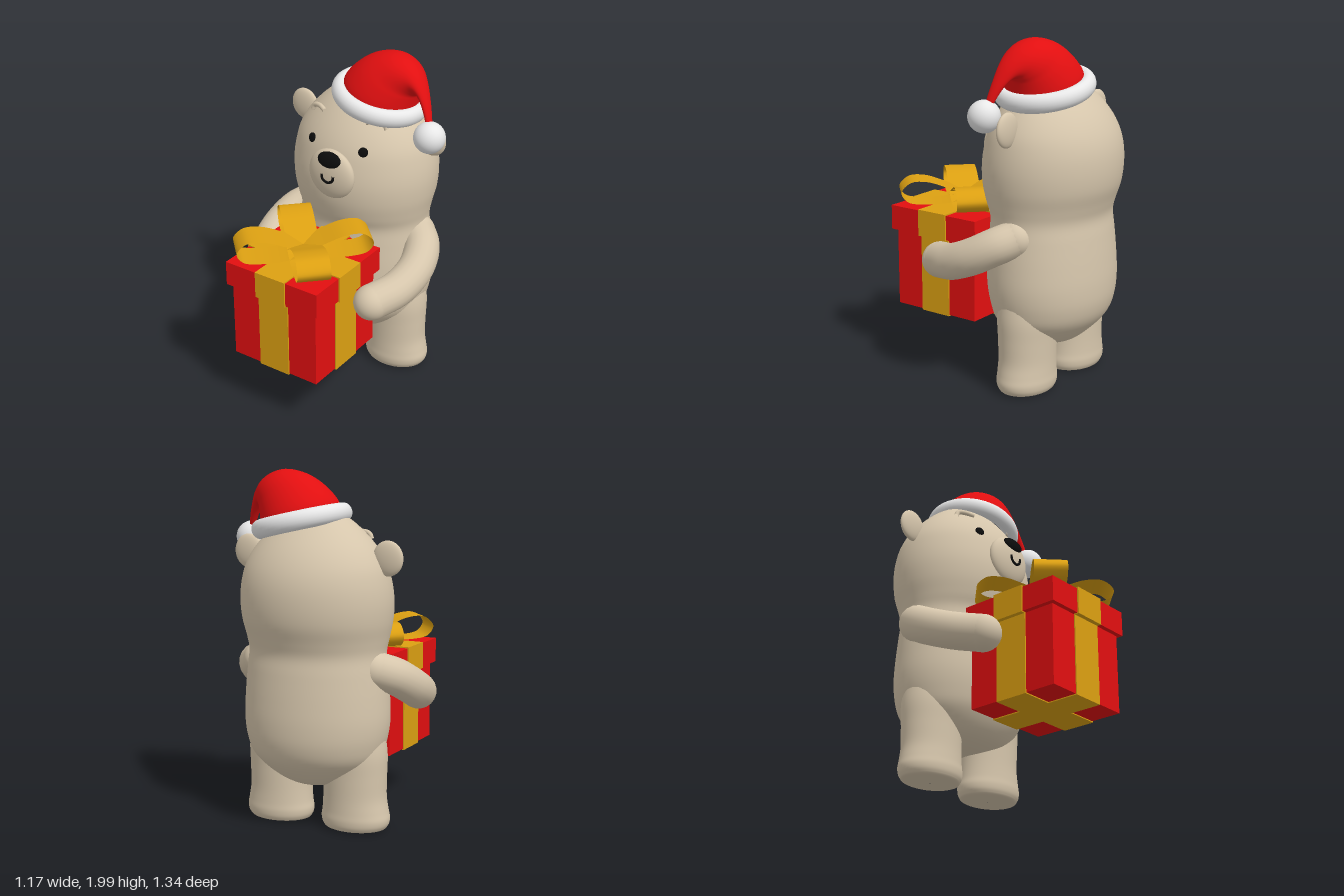
import * as THREE from 'three';

const mat = (name, color, side = THREE.FrontSide) => {
  const m = new THREE.MeshStandardMaterial({ color, side });
  m.name = name;
  return m;
};

// Smooth skin over elliptical sections: [cx, cy, cz, ux, uy, halfZ]
function loft(rows, steps = 5, sides = 48) {
  const a = rows.map(r => new THREE.Vector3(r[0], r[1], r[2]));
  const b = rows.map(r => new THREE.Vector3(r[3], r[4], r[5]));
  const ca = new THREE.CatmullRomCurve3(a, false, 'catmullrom', 0.5);
  const cb = new THREE.CatmullRomCurve3(b, false, 'catmullrom', 0.5);
  const n = (rows.length - 1) * steps, pos = [], idx = [];
  for (let i = 0; i <= n; i++) {
    const c = ca.getPoint(i / n), r = cb.getPoint(i / n);
    for (let j = 0; j < sides; j++) {
      const t = (j / sides) * Math.PI * 2, co = Math.cos(t);
      pos.push(c.x + r.x * co, c.y + r.y * co, c.z + r.z * Math.sin(t));
      if (i < n) {
        const k = (j + 1) % sides, p = i * sides, q = p + sides;
        idx.push(p + j, q + j, p + k, q + j, q + k, p + k);
      }
    }
  }
  const g = new THREE.BufferGeometry();
  g.setAttribute('position', new THREE.Float32BufferAttribute(pos, 3));
  g.setIndex(idx);
  g.computeVertexNormals();
  return g;
}

export function createModel() {
  const model = new THREE.Group();
  model.name = 'bearWithGift';
  const fur = mat('cream fur', 0xd6c6ac);
  const red = mat('red', 0xe20f10);
  const gold = mat('gold ribbon', 0xdca012, THREE.DoubleSide);
  const white = mat('white trim', 0xeeeeee);
  const black = mat('black', 0x0c0c0c);

  const add = (name, geo, material, x = 0, y = 0, z = 0, parent = model) => {
    const m = new THREE.Mesh(geo, material);
    m.name = name;
    m.position.set(x, y, z);
    parent.add(m);
    return m;
  };
  const ball = (name, material, p, s) => {
    const m = add(name, new THREE.SphereGeometry(1, 40, 28), material, ...p);
    m.scale.set(...s);
    return m;
  };
  const tube = (name, pts, r, material) => add(name, new THREE.TubeGeometry(
    new THREE.CatmullRomCurve3(pts.map(p => new THREE.Vector3(...p))), 32, r, 20), material);

  // Head and torso in one skin: [y, halfWidth, zFront, zBack]
  const body = [
    [0.235, 0.002, -0.299, -0.301], [0.25, 0.13, -0.18, -0.42], [0.3, 0.26, -0.08, -0.5],
    [0.4, 0.37, -0.01, -0.595], [0.5, 0.41, 0.02, -0.635], [0.62, 0.428, 0.035, -0.645],
    [0.76, 0.424, 0.032, -0.638], [0.9, 0.412, 0.022, -0.625], [1.0, 0.403, 0.018, -0.615],
    [1.08, 0.415, 0.045, -0.635], [1.18, 0.435, 0.068, -0.668], [1.29, 0.442, 0.072, -0.68],
    [1.4, 0.43, 0.055, -0.672], [1.5, 0.4, 0.025, -0.64], [1.6, 0.335, -0.03, -0.58],
    [1.7, 0.235, -0.11, -0.49], [1.76, 0.14, -0.19, -0.41], [1.785, 0.002, -0.299, -0.301]];
  add('body', loft(body.map(([y, w, f, b]) => [0, y, (f + b) / 2, w, 0, (f - b) / 2])), fur);

  // Legs: [y, centreX, halfWidth, halfDepth]
  const leg = [[0.008, 0.24, 0.002, 0.002], [0.01, 0.24, 0.155, 0.12], [0.03, 0.241, 0.19, 0.148],
    [0.07, 0.242, 0.201, 0.157], [0.12, 0.241, 0.193, 0.155], [0.2, 0.237, 0.184, 0.154],
    [0.32, 0.238, 0.184, 0.158], [0.45, 0.24, 0.183, 0.163], [0.6, 0.23, 0.17, 0.15]];
  for (const s of [1, -1]) {
    const side = s > 0 ? 'left' : 'right';
    add(side + 'Leg', loft(leg.map(([y, x, w, d]) => [s * x, y, -0.3, w, 0, d])), fur);

    // Arm with rounded ends
    const path = [[0.36, 0.92, -0.31], [0.44, 0.88, -0.23], [0.478, 0.81, -0.1],
      [0.455, 0.745, 0.06], [0.385, 0.71, 0.21]].map(([x, y, z]) => [s * x, y, z]);
    tube(side + 'Arm', path, 0.104, fur);
    ball(side + 'Shoulder', fur, path[0], [0.104, 0.104, 0.104]);
    ball(side + 'Hand', fur, path[4], [0.104, 0.104, 0.104]);

    ball(side + 'Ear', fur, [s * 0.437, 1.535, -0.305], [0.09, 0.097, 0.03]);
    const eye = ball(side + 'Eye', black, [s * 0.173, 1.5, -0.008], [0.028, 0.028, 0.014]);
    eye.rotation.set(-0.25, s * 0.4, 0, 'YXZ');
    tube(side + 'Brow', [[s * 0.25, 1.615, -0.125], [s * 0.235, 1.645, -0.125],
      [s * 0.19, 1.655, -0.11], [s * 0.14, 1.645, -0.085]], 0.014, fur);
  }

  // Face
  ball('muzzle', fur, [0.005, 1.348, 0.055], [0.15, 0.15, 0.056]);
  ball('nose', black, [0.01, 1.447, 0.088], [0.075, 0.046, 0.028]).rotation.x = -0.35;
  tube('mouth', [[-0.027, 1.362, 0.109], [-0.02, 1.332, 0.11], [0.012, 1.316, 0.11],
    [0.044, 1.332, 0.109], [0.051, 1.362, 0.108]], 0.008, black);

  // Hat sections: outer edge x, y, inner edge x, y, centre z, half depth
  const hat = [[-0.125, 1.77, 0.315, 1.66, -0.305, 0.225], [-0.105, 1.84, 0.325, 1.72, -0.305, 0.215],
    [-0.02, 1.925, 0.335, 1.765, -0.305, 0.185], [0.08, 1.98, 0.34, 1.78, -0.305, 0.155],
    [0.2, 2.0, 0.348, 1.79, -0.3, 0.125], [0.31, 1.965, 0.362, 1.8, -0.287, 0.092],
    [0.39, 1.89, 0.385, 1.79, -0.265, 0.062], [0.445, 1.79, 0.415, 1.75, -0.24, 0.04],
    [0.48, 1.69, 0.45, 1.68, -0.215, 0.026], [0.49, 1.62, 0.47, 1.62, -0.2, 0.02]];
  add('hat', loft(hat.map(([ax, ay, bx, by, z, d]) =>
    [(ax + bx) / 2, (ay + by) / 2, z, (bx - ax) / 2, (by - ay) / 2, d])), red);
  const brimGeo = new THREE.TorusGeometry(0.238, 0.046, 20, 64).rotateX(Math.PI / 2).scale(1, 1.15, 1);
  add('hatBrim', brimGeo, white, 0.093, 1.717, -0.305).rotation.z = -0.23;
  ball('pompom', white, [0.487, 1.605, -0.19], [0.09, 0.09, 0.09]);

  // Gift box with lid and crossed ribbons
  const gift = new THREE.Group();
  gift.name = 'gift';
  gift.position.z = 0.327;
  model.add(gift);
  const box = (name, m, w, h, d, y) => add(name, new THREE.BoxGeometry(w, h, d), m, 0, y, 0, gift);
  box('giftBox', red, 0.57, 0.46, 0.57, 0.57);
  box('giftLid', red, 0.62, 0.145, 0.62, 0.875);
  for (const [w, d, n] of [[0.2, 1, 'Front'], [1, 0.2, 'Side']]) {
    box('box' + n + 'Ribbon', gold, w < 1 ? w : 0.584, 0.47, d < 1 ? d : 0.584, 0.569);
    box('lid' + n + 'Ribbon', gold, w < 1 ? w : 0.638, 0.158, d < 1 ? d : 0.638, 0.876);
  }

  // Bow: four teardrop ribbon loops
  const drop = new THREE.CatmullRomCurve3([[-0.02, 1.01], [0.1, 1.055], [0.23, 1.1], [0.33, 1.098],
    [0.385, 1.04], [0.35, 0.985], [0.25, 0.966], [0.1, 0.972], [-0.02, 1.0]]
    .map(([x, y]) => new THREE.Vector3(x, y, 0)));
  const loop = new THREE.PlaneGeometry(1, 0.185, 48, 1);
  const p = loop.attributes.position;
  for (let i = 0; i < p.count; i++) {
    const c = drop.getPoint(p.getX(i) + 0.5);
    p.setXYZ(i, c.x, c.y, p.getY(i));
  }
  loop.computeVertexNormals();
  for (let i = 0; i < 4; i++) {
    add('bowLoop' + (i + 1), loop, gold, 0, 0, 0, gift).rotation.y = Math.PI / 4 + i * Math.PI / 2;
  }
  return model;
}
